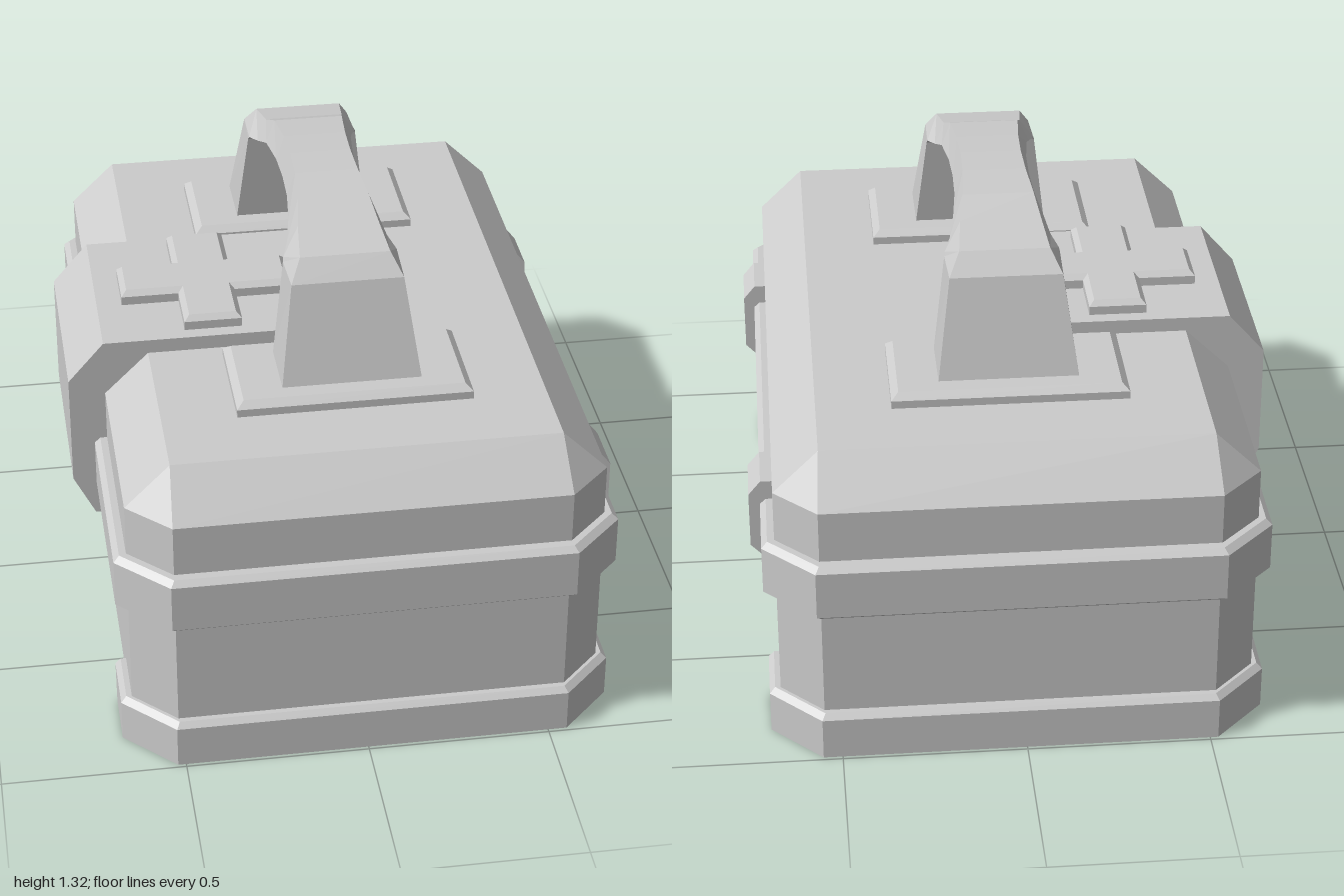
import * as THREE from 'three';

const CX = 0.015; // centre line of the case
const material = new THREE.MeshStandardMaterial({ color: 0xcccccc, flatShading: true });

function mesh(name, geometry) {
  const m = new THREE.Mesh(geometry, material);
  m.name = name;
  return m;
}

// Skin a series of equal-length rings and cap both ends
function loft(rings) {
  const pos = [];
  const tri = (a, b, c) => pos.push(...a, ...b, ...c);
  const n = rings[0].length;
  for (let r = 0; r < rings.length - 1; r++) {
    const a = rings[r], b = rings[r + 1];
    for (let i = 0; i < n; i++) {
      const j = (i + 1) % n;
      tri(a[i], a[j], b[j]);
      tri(a[i], b[j], b[i]);
    }
  }
  const first = rings[0], last = rings[rings.length - 1];
  for (let i = 1; i < n - 1; i++) {
    tri(first[0], first[i + 1], first[i]);
    tri(last[0], last[i], last[i + 1]);
  }
  const g = new THREE.BufferGeometry();
  g.setAttribute('position', new THREE.Float32BufferAttribute(pos, 3));
  g.computeVertexNormals();
  return g;
}

// Horizontal rectangle with corners cut by c
function octagon(y, hx, hz, c) {
  return [
    [hx - c, hz], [hx, hz - c], [hx, c - hz], [hx - c, -hz],
    [c - hx, -hz], [-hx, c - hz], [-hx, hz - c], [c - hx, hz],
  ].map(([x, z]) => [CX + x, y, z]);
}

// Half slab: cut corners outside, straight inner edge
function footRing(y, hx, hz, c, inner) {
  return [
    [hx - c, hz], [hx, hz - c], [hx, inner], [-hx, inner], [-hx, hz - c], [c - hx, hz],
  ].map(([x, z]) => [CX + x, y, z]);
}

// Side profile (x, y) extruded along z, centred on z = 0
function strap(points, width) {
  const shape = new THREE.Shape(points.map(([x, y]) => new THREE.Vector2(x, y)));
  return new THREE.ExtrudeGeometry(shape, { depth: width, bevelEnabled: false })
    .translate(0, 0, -width / 2);
}

export function createModel() {
  const group = new THREE.Group();

  // Case with sloped lid edges
  group.add(mesh('caseBody', loft([
    octagon(0.065, 0.645, 0.96, 0.115),
    octagon(0.755, 0.645, 0.96, 0.115),
    octagon(0.875, 0.522, 0.842, 0),
  ])));

  // Rim around the lid joint
  group.add(mesh('rimBand', loft([
    octagon(0.447, 0.664, 0.984, 0.132),
    octagon(0.46, 0.68, 1.0, 0.138),
    octagon(0.595, 0.68, 1.0, 0.138),
    octagon(0.61, 0.664, 0.984, 0.132),
  ])));

  // Feet across both ends
  for (const side of [1, -1]) {
    const foot = mesh(side > 0 ? 'frontFoot' : 'backFoot', loft([
      footRing(0, 0.675, 0.99, 0.138, 0.69),
      footRing(0.12, 0.675, 0.99, 0.138, 0.675),
      footRing(0.135, 0.66, 0.975, 0.132, 0.675),
    ]));
    if (side < 0) {
      foot.rotation.y = Math.PI;
      foot.position.x = 2 * CX;
    }
    group.add(foot);
  }

  // Hinge clips
  const clip = [[0.64, 0.665], [0.692, 0.665], [0.725, 0.625], [0.725, 0.465], [0.692, 0.43], [0.64, 0.43]];
  for (const side of [1, -1]) {
    const c = mesh('hingeClip', strap(clip, 0.155));
    c.position.z = side * 0.562;
    group.add(c);
  }

  // Closing flap folded over the lid
  group.add(mesh('closingFlap', strap([
    [CX, 0.915], [-0.63, 0.915], [-0.73, 0.8], [-0.73, 0.48], [-0.67, 0.36],
    [-0.62, 0.36], [-0.62, 0.75], [-0.5, 0.86], [CX, 0.86],
  ], 0.56)));

  // Raised cross on the flap
  const a = 0.24, b = 0.08;
  const crossRing = (y, d) => {
    const A = a - d, B = b - d;
    return [[A, B], [A, -B], [B, -B], [B, -A], [-B, -A], [-B, -B],
      [-A, -B], [-A, B], [-B, B], [-B, A], [B, A], [B, B]]
      .map(([x, z]) => [-0.32 + x, y, z]);
  };
  // start at an inner corner so the cap fan stays inside the cross
  const turn = (ring) => [...ring.slice(2), ...ring.slice(0, 2)];
  const cross = new THREE.Group();
  cross.name = 'cross';
  cross.add(mesh('crossEdge', loft([
    turn(crossRing(0.905, 0)), turn(crossRing(0.94, 0)),
  ].concat([turn(crossRing(0.955, 0.015))]))));
  group.add(cross);

  // Handle mounting pads
  for (const side of [1, -1]) {
    const pad = mesh('handlePad', loft([
      [0.87, 0], [0.897, 0], [0.915, 0.02],
    ].map(([y, d]) => octagon(y, 0.32 - d, 0.16 - d, 0))));
    pad.position.z = side * 0.482;
    group.add(pad);
  }

  // Carrying handle: outer z, y, half width, then inner z, y, half width
  const half = [
    [0.577, 0.91, 0.19, 0.39, 0.91, 0.19],
    [0.492, 1.18, 0.152, 0.363, 1.18, 0.157],
    [0.443, 1.235, 0.122, 0.355, 1.19, 0.155],
    [0.32, 1.262, 0.11, 0.3, 1.205, 0.137],
    [0.235, 1.3, 0.097, 0.225, 1.235, 0.122],
    [0.11, 1.312, 0.087, 0.11, 1.243, 0.11],
  ];
  const mid = [0, 1.315, 0.084, 0, 1.245, 0.107];
  const mirrored = half.map(([zo, yo, wo, zi, yi, wi]) => [-zo, yo, wo, -zi, yi, wi]).reverse();
  group.add(mesh('handle', loft([...half, mid, ...mirrored].map(([zo, yo, wo, zi, yi, wi]) => [
    [CX + wo, yo, zo], [CX + wi, yi, zi], [CX - wi, yi, zi], [CX - wo, yo, zo],
  ]))));

  return group;
}
